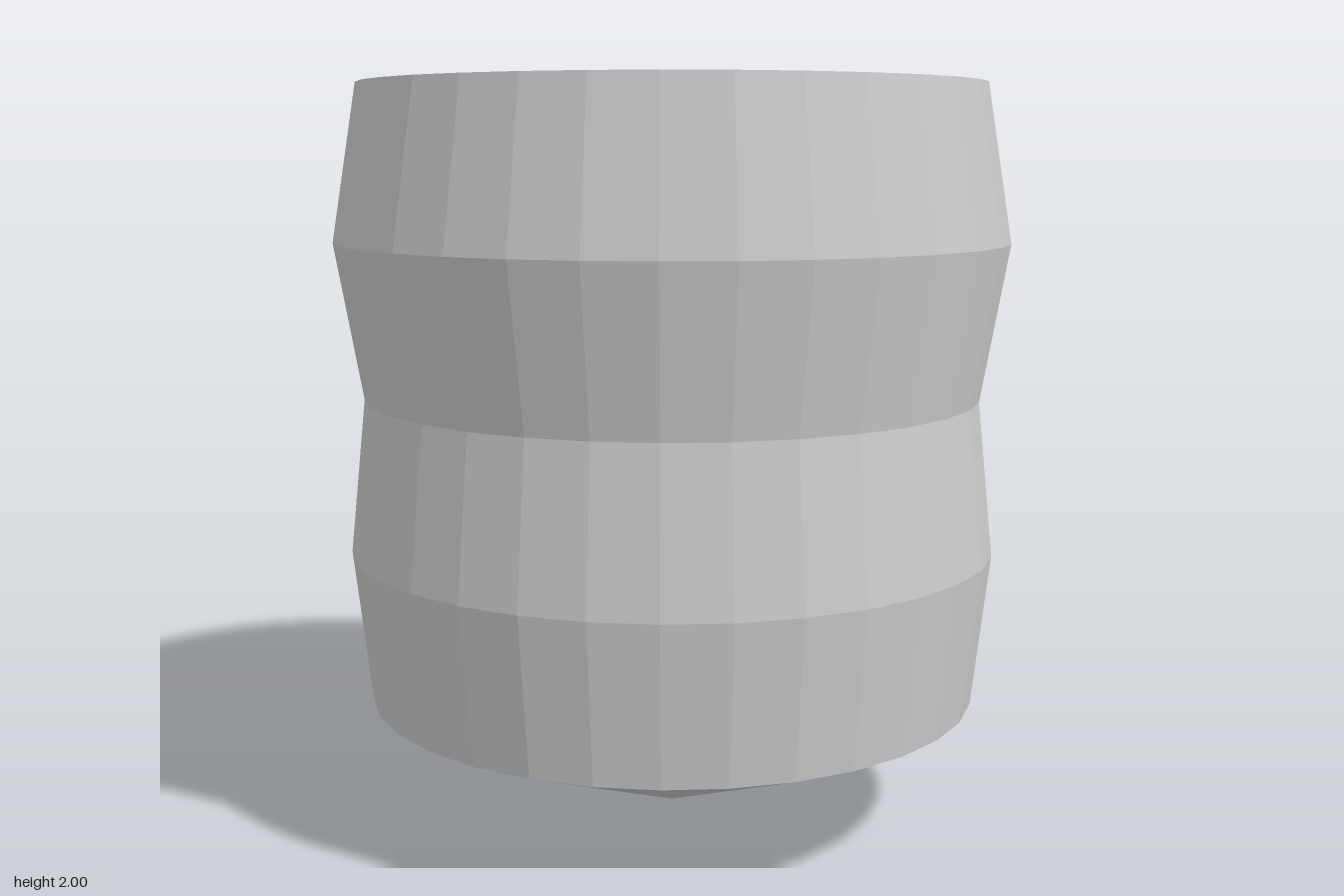
import * as THREE from 'three';

const SIDES = 32;

// Revolve a bottom-to-top profile of [radius, height] pairs
function turned(name, profile, material) {
  const points = profile.map(([r, y]) => new THREE.Vector2(r, y));
  const mesh = new THREE.Mesh(new THREE.LatheGeometry(points, SIDES), material);
  mesh.name = name;
  return mesh;
}

export function createModel() {
  const group = new THREE.Group();
  group.name = 'taperedBarrel';
  const material = new THREE.MeshStandardMaterial({ color: 0xcccccc, flatShading: true });

  // Conical underside coming to a point
  group.add(turned('conicalBase', [[0, 0], [0.83, 0.345]], material));

  // Faceted wall with two bulges
  group.add(turned('bulgedWall', [
    [0.83, 0.345], [0.875, 0.76], [0.83, 1.173], [0.9, 1.587], [0.83, 2],
  ], material));

  // Flat top
  const lid = new THREE.Mesh(new THREE.CircleGeometry(0.83, SIDES), material);
  lid.name = 'flatTop';
  lid.rotation.x = -Math.PI / 2;
  lid.position.y = 2;
  group.add(lid);

  return group;
}
